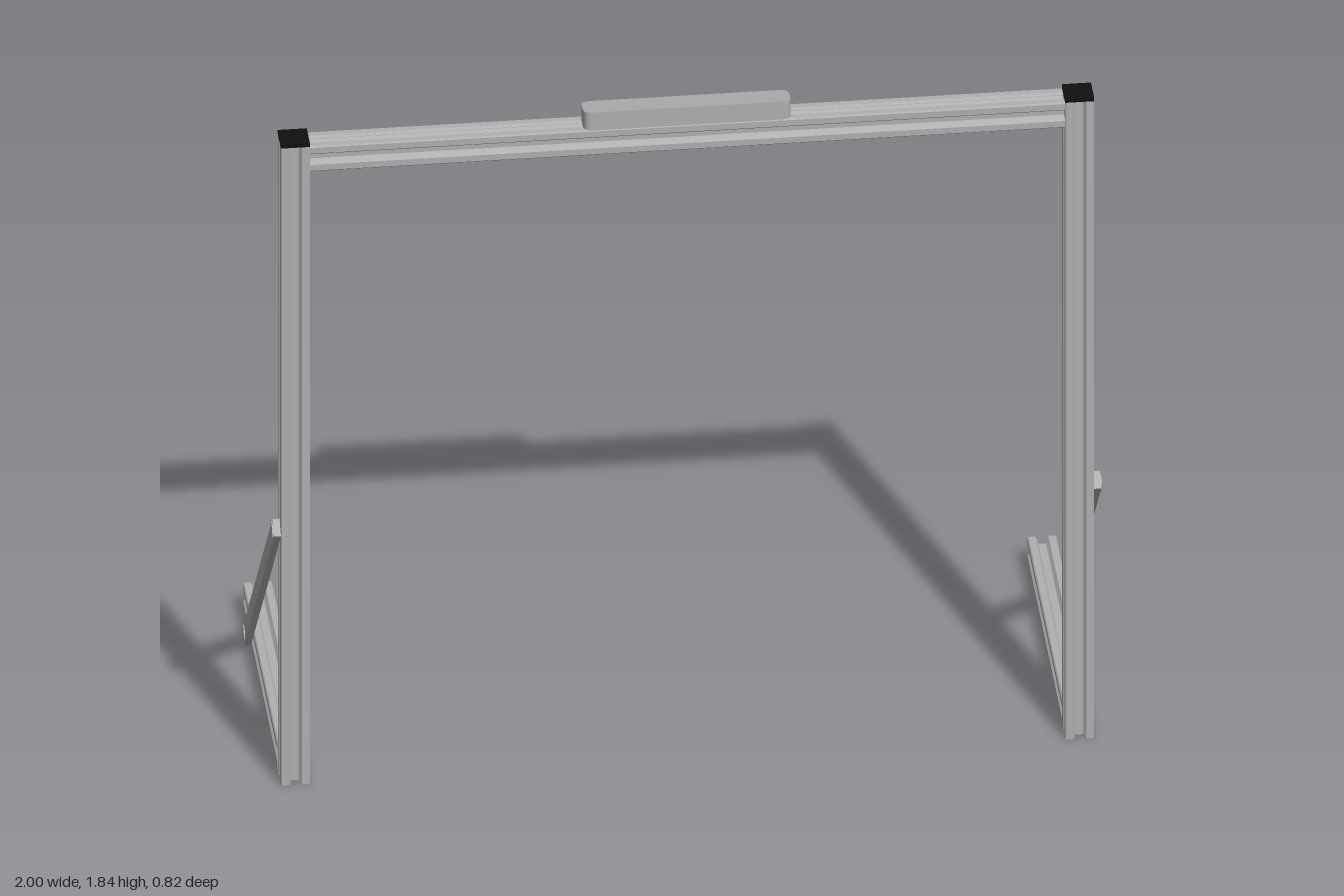
import * as THREE from 'three';

const aluminium = new THREE.MeshStandardMaterial({ color: 0xb0b0b0 });
aluminium.name = 'aluminium';
const blackPlastic = new THREE.MeshStandardMaterial({ color: 0x101010 });
blackPlastic.name = 'black plastic';

const W = 0.07, H = W / 2;   // bar width and half width
const POST_X = 0.945, POST_Z = 0.375, POST_TOP = 1.79;

// Slotted bar section: one side with its T-slot, turned four times
function barSection() {
  const half = [[H - 0.003, H], [0.016, H], [0.011, H - 0.006], [0.019, H - 0.008], [0.019, H - 0.012], [0.01, H - 0.021]];
  const side = [...half, ...half.map(([x, y]) => [-x, y]).reverse()];
  const points = [];
  for (let i = 0; i < 4; i++) {
    const turn = i * Math.PI / 2;
    for (const [x, y] of side) points.push(new THREE.Vector2(x, y).rotateAround(new THREE.Vector2(), turn));
  }
  const shape = new THREE.Shape(points);
  shape.holes.push(new THREE.Path().absarc(0, 0, 0.006, 0, Math.PI * 2, true));
  return shape;
}

function addMesh(parent, name, geometry, material, x = 0, y = 0, z = 0) {
  const mesh = new THREE.Mesh(geometry, material);
  mesh.name = name;
  mesh.position.set(x, y, z);
  parent.add(mesh);
  return mesh;
}

// Slotted bar centred on the origin, running along z
function barGeometry(length) {
  const geometry = new THREE.ExtrudeGeometry(barSection(), { depth: length, bevelEnabled: false, curveSegments: 6 });
  return geometry.translate(0, 0, -length / 2);
}

// Flat brace between two pivots, with a bolt at each
function addBrace(parent, side, sideName) {
  const brace = new THREE.Group();
  brace.name = sideName + 'Brace';
  parent.add(brace);
  const top = new THREE.Vector2(0.38, 0.70), bottom = new THREE.Vector2(-0.233, 0.037); // z, y
  const dir = top.clone().sub(bottom).normalize();
  const a = top.clone().addScaledVector(dir, 0.022);
  const b = bottom.clone().addScaledVector(dir, -0.03);
  const mid = a.clone().add(b).multiplyScalar(0.5);
  const strip = addMesh(brace, 'braceStrip', new THREE.BoxGeometry(0.017, 0.044, a.distanceTo(b)), aluminium,
    side * 0.9885, mid.y, mid.x);
  strip.rotation.x = -Math.atan2(dir.y, dir.x);
  for (const p of [top, bottom]) {
    const bolt = new THREE.CylinderGeometry(0.021, 0.021, 0.02, 24).rotateZ(Math.PI / 2);
    addMesh(brace, 'braceBolt', bolt, aluminium, side * 0.99, p.y, p.x);
  }
}

// Housing with rounded plan corners and a top sloping down to the back
function housingGeometry() {
  const x = 0.25, r = 0.02, height = 0.05;
  const s = new THREE.Shape();
  s.absarc(x - r, H - r, r, 0, Math.PI / 2);
  s.absarc(-x + r, H - r, r, Math.PI / 2, Math.PI);
  s.absarc(-x + r, -H + r, r, Math.PI, Math.PI * 1.5);
  s.absarc(x - r, -H + r, r, Math.PI * 1.5, Math.PI * 2);
  const g = new THREE.ExtrudeGeometry(s, { depth: height, bevelEnabled: false, curveSegments: 8 }).rotateX(-Math.PI / 2);
  const pos = g.attributes.position;
  for (let i = 0; i < pos.count; i++) {
    if (pos.getY(i) > height / 2) pos.setY(i, height - 0.01 * (H - pos.getZ(i)) / W);
  }
  g.computeVertexNormals();
  return g;
}

export function createModel() {
  const model = new THREE.Group();
  model.name = 'gantryFrame';

  // Uprights, feet, caps and braces on both sides
  for (const side of [-1, 1]) {
    const sideName = side > 0 ? 'left' : 'right';
    addMesh(model, sideName + 'Post', barGeometry(POST_TOP).rotateX(-Math.PI / 2), aluminium,
      side * POST_X, POST_TOP / 2, POST_Z);
    addMesh(model, sideName + 'PostCap', new THREE.BoxGeometry(W, 0.01, W), blackPlastic,
      side * POST_X, POST_TOP + 0.005, POST_Z);
    addMesh(model, sideName + 'Foot', barGeometry(0.75), aluminium, side * POST_X, H, -0.035);
    addBrace(model, side, sideName);
  }

  // Top beam and the housing on it
  addMesh(model, 'crossBeam', barGeometry(1.82).rotateY(Math.PI / 2), aluminium, 0, POST_TOP - H, POST_Z);
  addMesh(model, 'topHousing', housingGeometry(), aluminium, 0, POST_TOP, POST_Z);
  return model;
}
